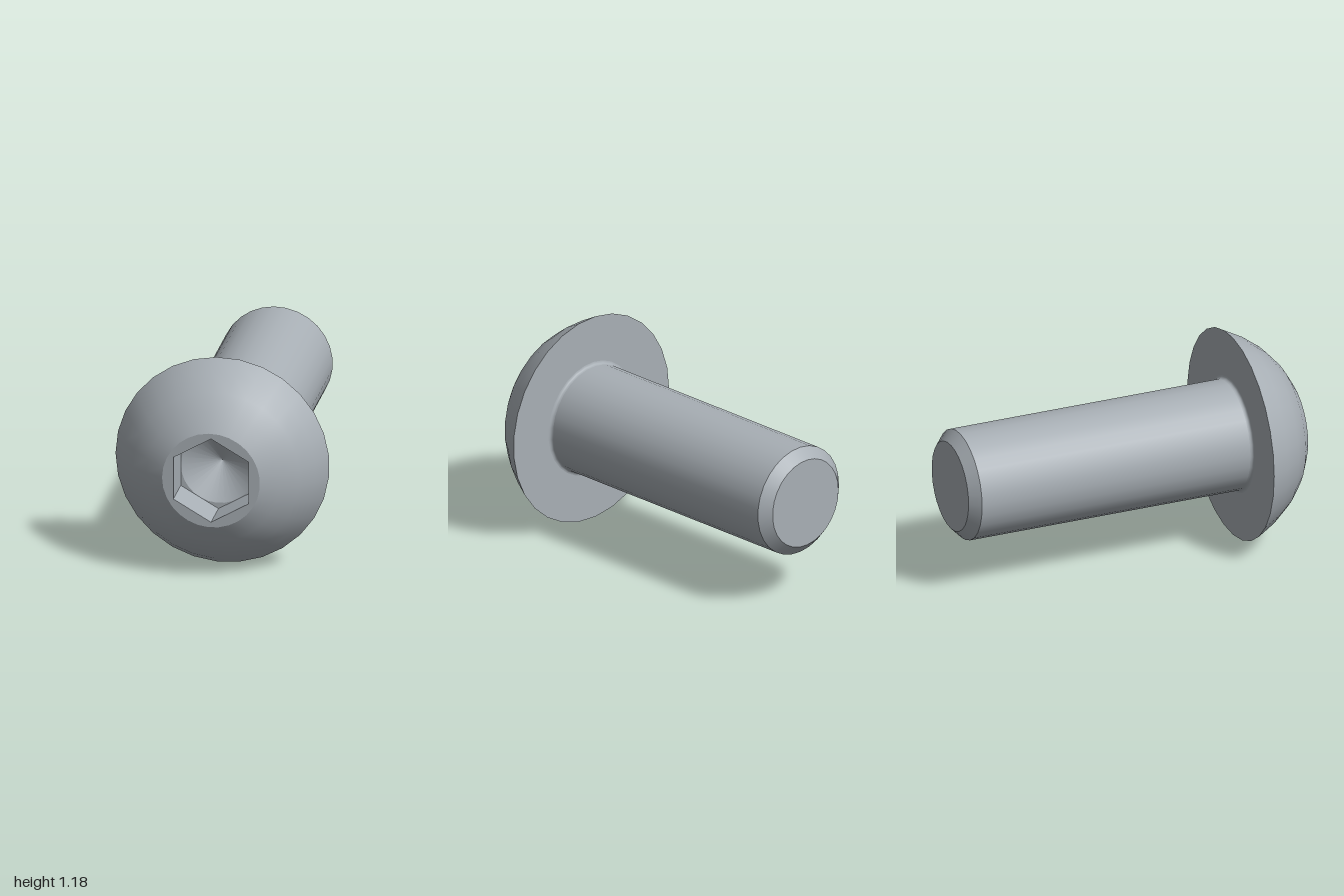
import * as THREE from 'three';

const SIDES = 29, AXIS_Y = 0.59;
const HEX_R = 0.24, HEX_IN = 0.207, RIM_R = 0.27, FLOOR_Z = 0.78;

export function createModel() {
  const group = new THREE.Group();
  const steel = new THREE.MeshStandardMaterial({ color: 0xa8afb5 });
  steel.name = 'steel';

  function add(name, geometry, z = 0) {
    const mesh = new THREE.Mesh(geometry, steel);
    mesh.name = name;
    mesh.position.set(0, AXIS_Y, z);
    group.add(mesh);
  }

  // Turned surface along z from [radius, z] pairs
  function turn(name, profile) {
    const points = profile.map(([r, z]) => new THREE.Vector2(r, z));
    add(name, new THREE.LatheGeometry(points, SIDES, -Math.PI / 2).rotateX(Math.PI / 2));
  }

  // Regular polygon outline in the xy plane
  const ring = (n, r, start) => Array.from({ length: n }, (_, i) => {
    const a = start + (i * 2 * Math.PI) / n;
    return new THREE.Vector2(r * Math.cos(a), r * Math.sin(a));
  });
  const hex = ring(6, HEX_R, Math.PI / 2);

  // Flat plate with a hole, facing the front
  function plate(name, outer, inner, z) {
    const shape = new THREE.Shape(outer);
    shape.holes.push(new THREE.Path(inner));
    add(name, new THREE.ShapeGeometry(shape), z);
  }

  // Shank: end face, chamfer, cylinder
  turn('shankEnd', [[0, -1], [0.25, -1]]);
  turn('shankChamfer', [[0.25, -1], [0.308, -0.945]]);
  turn('shank', [[0.308, -0.945], [0.308, 0.643]]);

  // Small fillet running into the underside of the head
  const fillet = [];
  for (let i = 0; i <= 4; i++) {
    const a = (i / 4) * Math.PI / 2;
    fillet.push([0.326 - 0.018 * Math.cos(a), 0.642 + 0.018 * Math.sin(a)]);
  }
  turn('fillet', fillet);
  turn('headUnderside', [[0.326, 0.66], [0.59, 0.66]]);

  // Domed button head with a flat front rim
  turn('headDome', [[0.59, 0.66], [0.533, 0.765], [0.46, 0.862], [0.37, 0.942], [RIM_R, 1]]);
  plate('headRim', ring(SIDES, RIM_R, Math.PI), hex, 1);

  // Hexagonal socket: inward walls, corner floor, drilled cone
  const depth = 1 - FLOOR_Z;
  const walls = new THREE.CylinderGeometry(HEX_R, HEX_R, depth, 6, 1, true)
    .rotateX(Math.PI / 2).toNonIndexed();
  // Swap two corners of each triangle so the walls face inward
  const p = walls.attributes.position;
  const a = new THREE.Vector3(), b = new THREE.Vector3();
  for (let i = 0; i < p.count; i += 3) {
    a.fromBufferAttribute(p, i + 1);
    b.fromBufferAttribute(p, i + 2);
    p.setXYZ(i + 1, b.x, b.y, b.z);
    p.setXYZ(i + 2, a.x, a.y, a.z);
  }
  walls.computeVertexNormals();
  add('socketWalls', walls, 1 - depth / 2);
  plate('socketFloor', hex, ring(SIDES, HEX_IN, Math.PI), FLOOR_Z);
  turn('socketCone', [[HEX_IN, FLOOR_Z], [0, FLOOR_Z - 0.12]]);

  return group;
}
